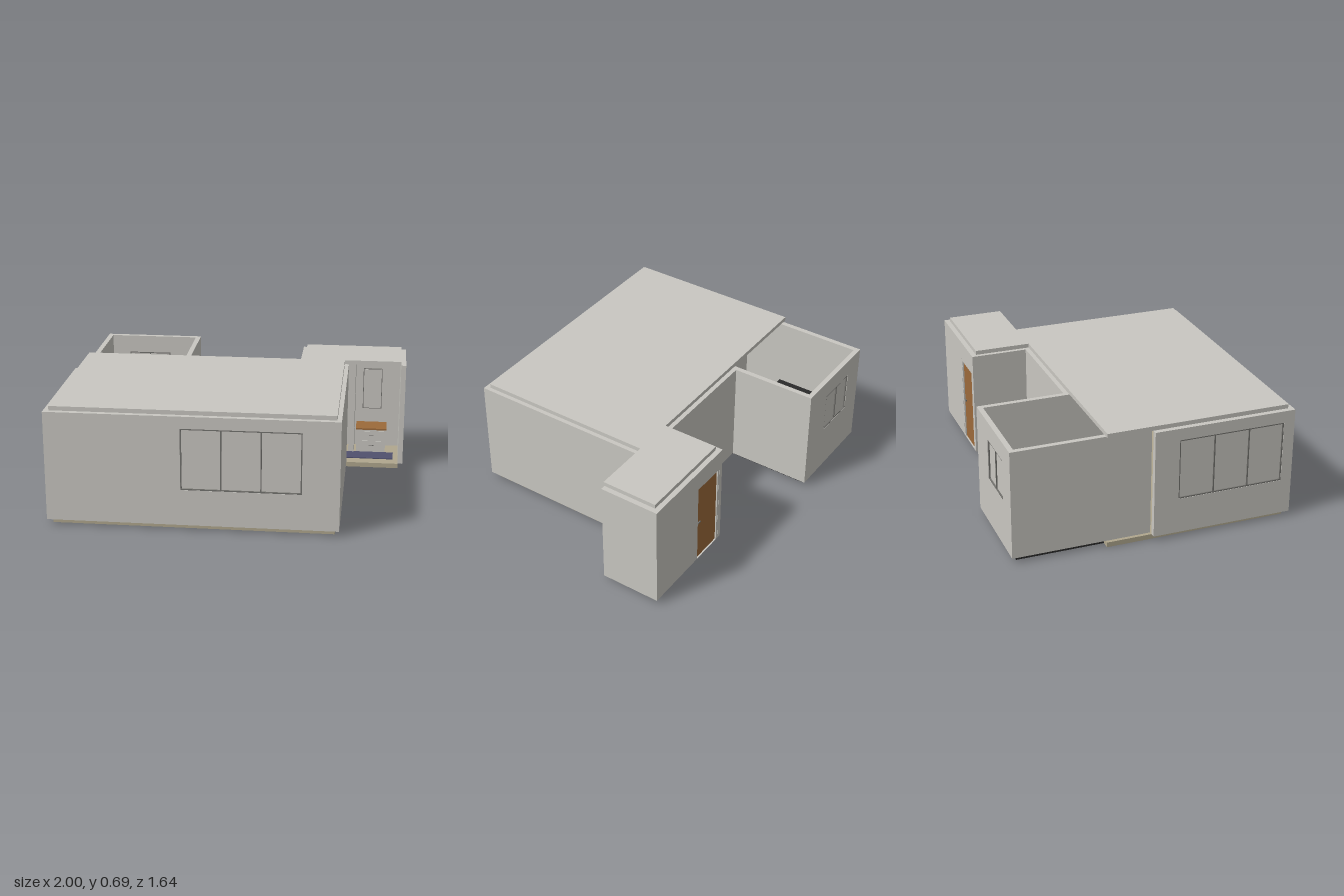
import * as THREE from 'three';

const material = (name, color, side = THREE.FrontSide) => {
  const m = new THREE.MeshStandardMaterial({ color, side });
  m.name = name;
  return m;
};

export function createModel() {
  const house = new THREE.Group();
  house.name = 'house';
  const plaster = material('plaster', 0xc9c7c1);
  const beige = material('beige floor', 0xb0a78e);
  const dark = material('dark stone', 0x2a2a2a);
  const wood = material('wood', 0x9c6a3a);
  const blue = material('blue rug', 0x50506e);
  const frameGrey = material('frame grey', 0x74736f);

  const FLOOR = 0.03, TOP = 0.67, T = 0.03;

  // Box given by its lower and upper corners
  function box(name, mat, x0, x1, y0, y1, z0, z1, parent = house) {
    const mesh = new THREE.Mesh(new THREE.BoxGeometry(x1 - x0, y1 - y0, z1 - z0), mat);
    mesh.position.set((x0 + x1) / 2, (y0 + y1) / 2, (z0 + z1) / 2);
    mesh.name = name;
    parent.add(mesh);
    return mesh;
  }

  function cylinder(name, mat, r0, r1, h, x, y, z, parent = house) {
    const mesh = new THREE.Mesh(new THREE.CylinderGeometry(r0, r1, h, 20), mat);
    mesh.position.set(x, y, z);
    mesh.name = name;
    parent.add(mesh);
    return mesh;
  }

  // Wall in its own frame: u along it, outer face at local z = 0, turned by angle
  function wall(name, u0, u1, angle, x, z, opening) {
    const group = new THREE.Group();
    group.name = name;
    group.rotation.y = angle;
    group.position.set(x, 0, z);
    const shape = new THREE.Shape();
    shape.moveTo(u0, FLOOR).lineTo(u1, FLOOR).lineTo(u1, TOP).lineTo(u0, TOP).closePath();
    if (opening) {
      const [a, b, c, d] = opening;
      const hole = new THREE.Path();
      hole.moveTo(a, c).lineTo(a, d).lineTo(b, d).lineTo(b, c).closePath();
      shape.holes.push(hole);
    }
    const geometry = new THREE.ExtrudeGeometry(shape, { depth: T, bevelEnabled: false });
    geometry.translate(0, 0, -T);
    const mesh = new THREE.Mesh(geometry, plaster);
    mesh.name = name + ' panel';
    group.add(mesh);
    house.add(group);
    return group;
  }

  // Recessed window with a thin frame and upright bars
  function fillWindow(group, [a, b, c, d], panes) {
    const w = 0.007;
    box('window panes', plaster, a, b, c, d, -0.022, -0.01, group);
    for (const y of [c, d - w]) box('window rail', frameGrey, a, b, y, y + w, -0.028, -0.002, group);
    for (let i = 0; i <= panes; i++) {
      const u = a + (b - a - w) * i / panes;
      box('window bar', frameGrey, u, u + w, c, d, -0.028, -0.003, group);
    }
  }

  // Door leaf with jambs, head and a handle on both sides
  function fillDoor(group, [a, b, c, d], handleU) {
    const w = 0.014;
    box('door leaf', wood, a + w, b - w, c, d - w, -0.021, -0.009, group);
    for (const u of [a, b - w]) box('door jamb', plaster, u, u + w, c, d, -0.034, -0.001, group);
    box('door head', plaster, a, b, d - w, d, -0.034, -0.001, group);
    for (const z of [-0.028, -0.009]) {
      box('door handle', frameGrey, handleU - 0.004, handleU + 0.022, 0.285, 0.293, z, z + 0.007, group);
    }
  }

  // Floor slabs
  box('hall floor', beige, -0.97, 0.625, 0.001, FLOOR, -0.285, 0.79);
  box('entrance floor', beige, 0.375, 0.97, 0.001, FLOOR, -0.62, -0.285);
  box('kitchen floor', dark, -0.92, -0.37, 0, FLOOR + 0.001, -0.795, -0.02);

  // Flat roof, leaving the kitchen open
  box('hall ceiling', plaster, -0.97, 0.625, TOP, 0.695, -0.285, 0.79);
  box('entrance ceiling', plaster, 0.375, 0.97, TOP, 0.695, -0.62, -0.285);
  box('ceiling joint', plaster, 0.375, 0.625, TOP, 0.695, -0.3, -0.27);

  // Hall walls
  const frontOpening = [-0.235, 0.44, 0.24, 0.6];
  fillWindow(wall('front wall', -1, 0.65, 0, 0, 0.82, frontOpening), frontOpening, 3);
  const sideOpening = [0.125, 0.755, 0.24, 0.6];
  fillWindow(wall('right side wall', -0.02, 0.79, -Math.PI / 2, -1, 0, sideOpening), sideOpening, 3);
  wall('left side wall', -0.79, 0.29, Math.PI / 2, 0.65, 0);
  wall('hall back wall', -0.35, 0.34, Math.PI, 0, -0.312);

  // Entrance walls
  wall('entrance outer wall', 0.29, 0.62, Math.PI / 2, 1, 0);
  wall('entrance inner wall', -0.62, -0.285, -Math.PI / 2, 0.35, 0);
  const entry = [-0.605, -0.378, 0.031, 0.56];
  fillDoor(wall('entrance back wall', -1, -0.35, Math.PI, 0, -0.65, entry), entry, -0.58);
  box('entrance partition', plaster, 0.655, 0.69, FLOOR, TOP, -0.62, -0.47);

  // Kitchen walls
  const kitchenOpening = [0.54, 0.81, 0.315, 0.56];
  fillWindow(wall('kitchen back wall', 0.34, 0.95, Math.PI, 0, -0.825, kitchenOpening), kitchenOpening, 2);
  wall('kitchen outer wall', -0.795, -0.02, -Math.PI / 2, -0.95, 0);
  wall('kitchen inner wall', 0.02, 0.795, Math.PI / 2, -0.34, 0);
  const kitchenDoor = [0.54, 0.77, 0.031, 0.56];
  fillDoor(wall('kitchen partition', 0.37, 0.92, Math.PI, 0, -0.05, kitchenDoor), kitchenDoor, 0.57);

  // Kitchen units with dark worktops
  const units = [
    [-0.92, -0.37, -0.795, -0.637],
    [-0.92, -0.765, -0.632, -0.3],
    [-0.525, -0.37, -0.632, -0.385],
  ];
  for (const [x0, x1, z0, z1] of units) {
    box('kitchen cupboard', plaster, x0, x1 - 0.006, FLOOR, 0.235, z0, z1 - 0.006);
    box('worktop', dark, x0, x1, 0.235, 0.25, z0, z1);
  }
  box('cupboard handle', dark, -0.77, -0.758, 0.19, 0.197, -0.49, -0.34);
  box('sink', beige, -0.745, -0.62, 0.245, 0.254, -0.775, -0.66);
  cylinder('tap post', dark, 0.004, 0.004, 0.05, -0.685, 0.275, -0.772);
  box('tap spout', dark, -0.689, -0.681, 0.295, 0.301, -0.772, -0.735);
  box('worktop appliance', plaster, -0.48, -0.42, 0.25, 0.3, -0.65, -0.575);
  cylinder('soap bottle', plaster, 0.006, 0.008, 0.03, -0.86, 0.265, -0.782);
  cylinder('bin', dark, 0.04, 0.034, 0.11, -0.5, 0.086, -0.33);
  box('kitchen rug', blue, -0.76, -0.54, 0.031, 0.036, -0.62, -0.12);

  // Entrance furniture: chest of drawers, mirror, lamp and rug
  box('chest', plaster, 0.704, 0.888, FLOOR, 0.18, -0.62, -0.485);
  box('chest top', wood, 0.7, 0.895, 0.18, 0.19, -0.62, -0.48);
  for (const y of [0.075, 0.14]) {
    box('drawer front', plaster, 0.71, 0.882, y - 0.03, y + 0.03, -0.486, -0.481);
    box('drawer handle', frameGrey, 0.785, 0.815, y, y + 0.004, -0.481, -0.477);
  }
  box('mirror frame', frameGrey, 0.737, 0.857, 0.282, 0.548, -0.62, -0.613);
  box('mirror', plaster, 0.741, 0.853, 0.286, 0.544, -0.614, -0.611);
  cylinder('ceiling lamp', dark, 0.015, 0.007, 0.022, 0.8, 0.658, -0.45);
  box('entrance rug', blue, 0.59, 0.94, FLOOR, 0.035, -0.475, -0.36);

  return house;
}
